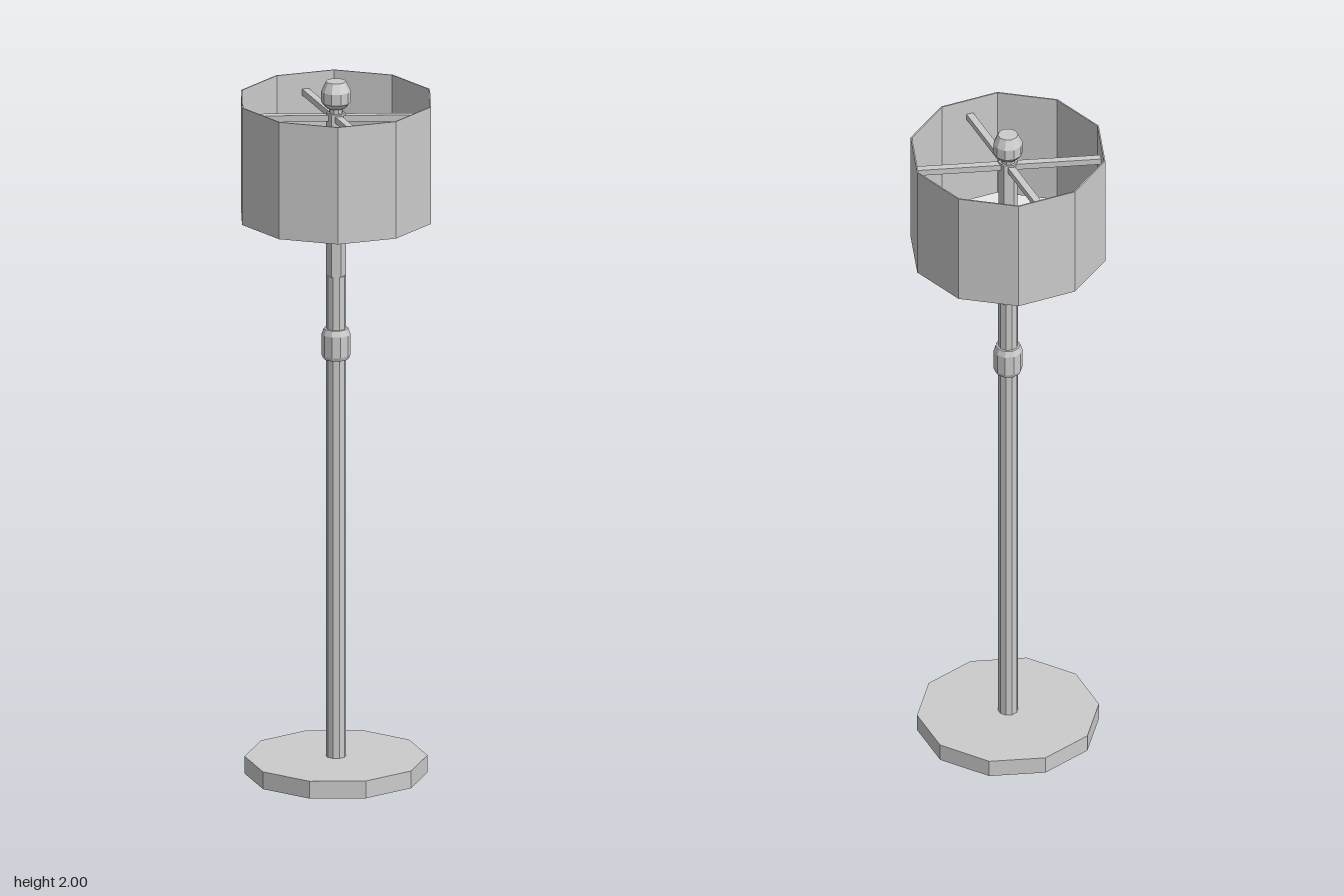
import * as THREE from 'three';

const SIDES = 10;
const material = new THREE.MeshStandardMaterial({ color: 0xcccccc, flatShading: true });

export function createModel() {
  const group = new THREE.Group();
  group.name = 'floorLamp';

  const add = (name, geometry, turn = 0) => {
    const mesh = new THREE.Mesh(geometry, material);
    mesh.name = name;
    mesh.rotation.y = turn;
    group.add(mesh);
    return mesh;
  };
  // Faceted turned part from [radius, height] pairs
  const turned = (name, profile, sides = SIDES, turn = Math.PI / SIDES) =>
    add(name, new THREE.LatheGeometry(profile.map(([r, y]) => new THREE.Vector2(r, y)), sides), turn);

  // Base disc, with corners on the x axis
  turned('base', [[0, 0], [0.253, 0], [0.253, 0.05], [0, 0.05]]);

  // Lower pole and the slimmer pole that slides out of it
  turned('lowerPole', [[0, 0.05], [0.028, 0.05], [0.028, 1.44], [0, 1.44]]);
  turned('upperPole', [[0, 1.44], [0.027, 1.44], [0.027, 1.91], [0, 1.91]], 6, Math.PI / 6);

  // Clamping collar, bevelled at both ends
  turned('collar', [[0.028, 1.2], [0.036, 1.2], [0.04, 1.21], [0.04, 1.27], [0.034, 1.287], [0.028, 1.287]]);

  // Finial on a short neck
  turned('finial', [
    [0, 1.9], [0.02, 1.9], [0.02, 1.925], [0.028, 1.925],
    [0.041, 1.94], [0.041, 1.972], [0.028, 2], [0, 2],
  ]);

  // Thin-walled drum shade, open at top and bottom
  turned('shade', [
    [0.271, 1.612], [0.275, 1.612], [0.275, 1.95], [0.271, 1.95], [0.271, 1.612],
  ], SIDES, 0);

  // Spokes that carry the shade, meeting the middles of its panels
  const span = 2 * 0.272 * Math.cos(Math.PI / SIDES);
  for (const turn of [0, -Math.PI * 0.4]) {
    add('shadeSpoke', new THREE.BoxGeometry(span, 0.018, 0.02), turn).position.y = 1.895;
  }

  return group;
}
